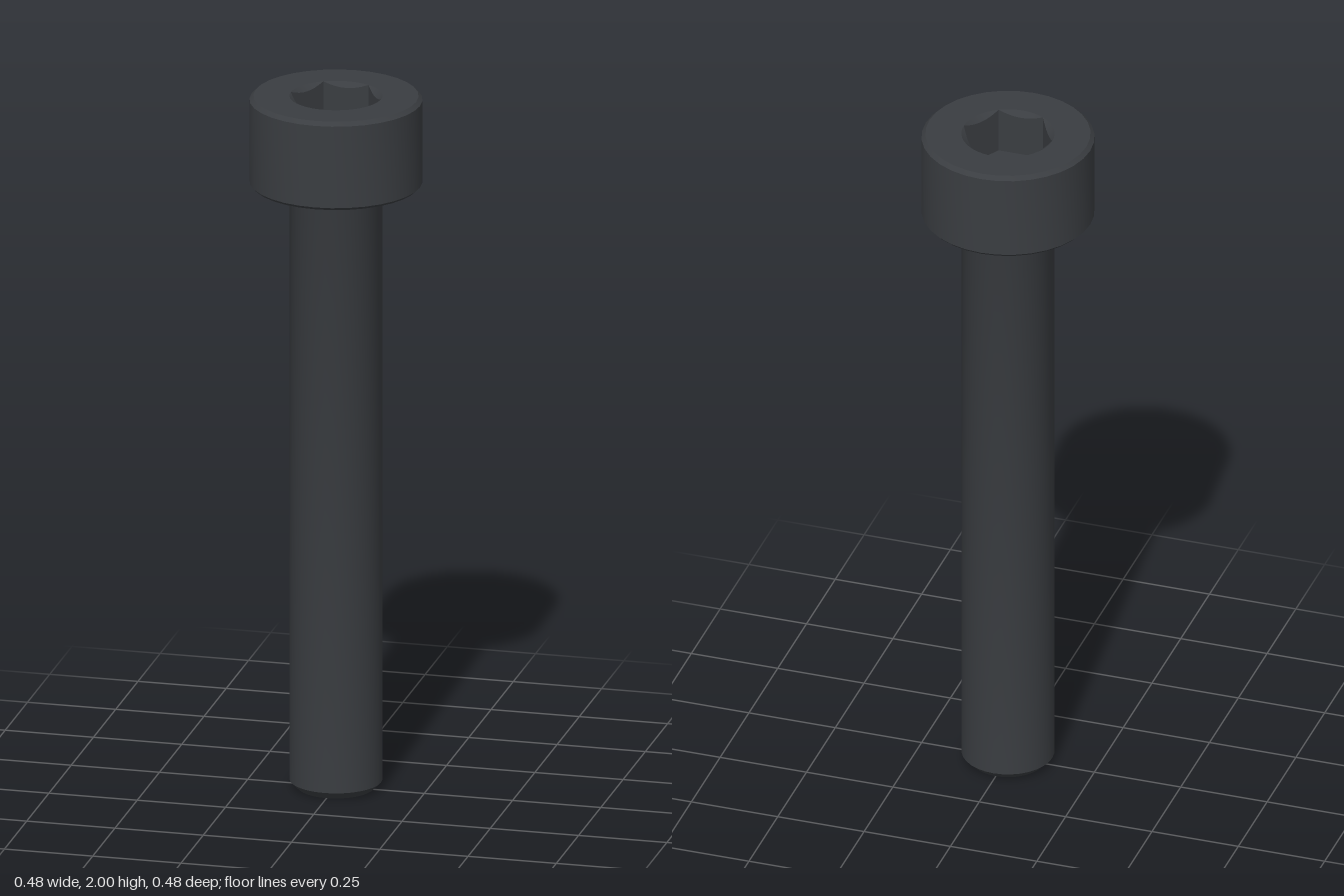
import * as THREE from 'three';
import { toCreasedNormals } from 'three/addons/utils/BufferGeometryUtils.js';

const SIDES = 32;      // facets around head and shank
const HEX_STEPS = 48;  // samples around the socket, a multiple of six
const SOCKET_R = 0.128;
const TOP_R = 0.227;

const steel = new THREE.MeshStandardMaterial({ color: 0x3a3d41 });

function addPart(group, name, geometry) {
  const mesh = new THREE.Mesh(toCreasedNormals(geometry, 0.45), steel);
  mesh.name = name;
  group.add(mesh);
}

function lathe(profile) {
  return new THREE.LatheGeometry(profile.map(([r, y]) => new THREE.Vector2(r, y)), SIDES);
}

function circlePoints(radius, count) {
  return Array.from({ length: count }, (_, i) => {
    const a = (i / count) * Math.PI * 2;
    return new THREE.Vector2(Math.cos(a) * radius, Math.sin(a) * radius);
  });
}

// Flat annulus on top of the head
function topFace() {
  const shape = new THREE.Shape(circlePoints(TOP_R, SIDES));
  shape.holes.push(new THREE.Path(circlePoints(SOCKET_R, HEX_STEPS)));
  return new THREE.ShapeGeometry(shape).rotateX(-Math.PI / 2).translate(0, 2, 0);
}

// Conical lead-in cut by a hexagon, then straight walls and a flat floor
function hexSocket() {
  const floorY = 1.87, slope = 0.8, sector = Math.PI / 3;
  const positions = [], indices = [];
  for (let i = 0; i < HEX_STEPS; i++) {
    const a = (i / HEX_STEPS) * Math.PI * 2;
    const r = SOCKET_R * Math.cos(sector / 2) / Math.cos((a % sector) - sector / 2);
    const x = Math.cos(a), z = -Math.sin(a);
    positions.push(x * SOCKET_R, 2, z * SOCKET_R);
    positions.push(x * r, 2 - (SOCKET_R - r) * slope, z * r);
    positions.push(x * r, floorY, z * r);
    const p = i * 3, q = ((i + 1) % HEX_STEPS) * 3;
    for (let k = 0; k < 2; k++) {
      indices.push(p + k, q + k, p + k + 1, q + k, q + k + 1, p + k + 1);
    }
    indices.push(p + 2, q + 2, HEX_STEPS * 3);
  }
  positions.push(0, floorY, 0);
  const g = new THREE.BufferGeometry();
  g.setAttribute('position', new THREE.Float32BufferAttribute(positions, 3));
  g.setIndex(indices);
  return g;
}

export function createModel() {
  const bolt = new THREE.Group();
  bolt.name = 'socketHeadBolt';

  // Shank with chamfered tip and a small fillet under the head
  addPart(bolt, 'shank', lathe([
    [0, 0], [0.106, 0], [0.128, 0.022], [0.128, 1.735], [0.131, 1.742], [0.138, 1.745],
  ]));

  // Head with chamfered rims
  addPart(bolt, 'head', lathe([
    [0.138, 1.745], [0.23, 1.745], [0.238, 1.753], [0.238, 1.989], [TOP_R, 2],
  ]));
  addPart(bolt, 'headTop', topFace());
  addPart(bolt, 'hexSocket', hexSocket());

  return bolt;
}
